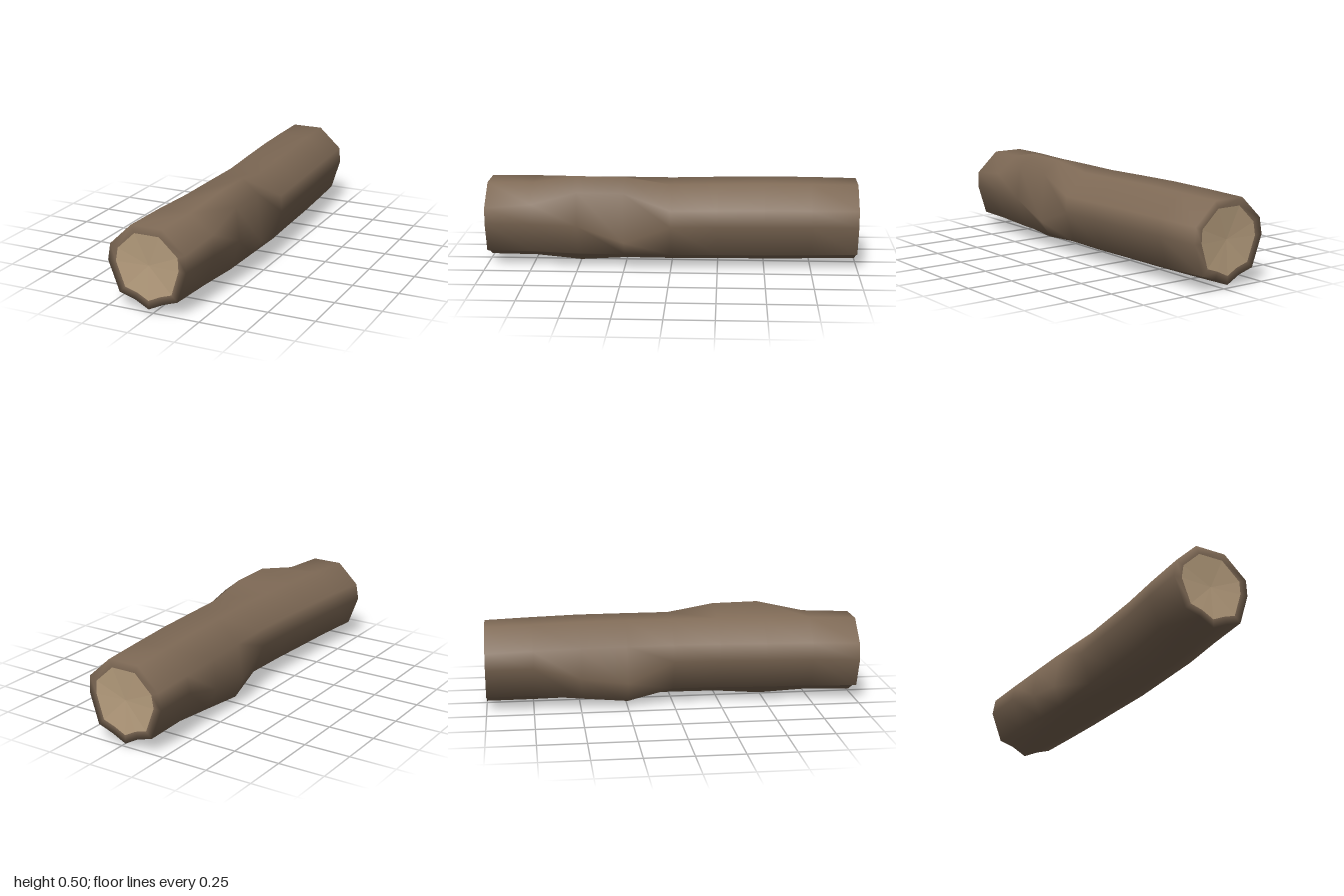
import * as THREE from 'three';

// Irregular cross-section, counter-clockwise seen from the front
const SECTION = [
  [0.21, 0], [0.206, 0.087], [0.082, 0.2], [-0.087, 0.2], [-0.205, 0.087], [-0.22, 0],
  [-0.16, -0.16], [-0.078, -0.183], [0, -0.225], [0.08, -0.187], [0.16, -0.16],
];
const N = SECTION.length;

// Rings along the log: z, centre x, centre y, scale, and knots { corner: [dx, dy] }
const RINGS = [
  { z: -1, x: -0.022, y: 0.243, s: 1.01 },
  { z: -0.75, x: -0.01, y: 0.245, s: 1.03 },
  { z: -0.5, x: 0.003, y: 0.247, s: 1.04, knots: { 5: [0, -0.07], 6: [-0.01, -0.025] } },
  { z: -0.25, x: 0.015, y: 0.247, s: 1.03, knots: { 5: [-0.012, -0.105], 6: [-0.03, -0.047] } },
  { z: 0, x: 0.028, y: 0.246, s: 1.02 },
  { z: 0.25, x: 0.022, y: 0.246, s: 1.02, knots: { 0: [0, -0.09], 1: [-0.02, 0.085], 2: [0.02, 0.04] } },
  { z: 0.5, x: 0.013, y: 0.243, s: 1.02, knots: { 1: [-0.015, 0.09], 2: [0.028, 0.048], 8: [0, -0.014] } },
  { z: 0.75, x: -0.006, y: 0.245, s: 1.01, knots: { 1: [0, 0.02] } },
  { z: 1, x: -0.025, y: 0.24, s: 1 },
];

function ringPoints({ z, x, y, s, knots = {} }) {
  return SECTION.map(([px, py], i) => {
    const [dx, dy] = knots[i] ?? [0, 0];
    return [x + px * s + dx, y + py * s + dy, z];
  });
}

// Bark skin with a flat rim folded inwards at both ends
function barkGeometry(rings) {
  const index = [];
  for (let i = 0; i < rings.length - 1; i++) {
    for (let j = 0; j < N; j++) {
      const k = (j + 1) % N;
      const a = i * N + j, b = i * N + k, c = b + N, d = a + N;
      index.push(a, b, c, a, c, d);
    }
  }
  const g = new THREE.BufferGeometry();
  g.setAttribute('position', new THREE.Float32BufferAttribute(rings.flat(2), 3));
  g.setIndex(index);
  g.computeVertexNormals();
  return g;
}

// Sawn end: a faceted, slightly hollow fan
function endGeometry(ring, { x, y, z }) {
  const dir = Math.sign(z);
  const centre = [x, y, z - dir * 0.012];
  const pos = [];
  for (let j = 0; j < N; j++) {
    const p = ring[j], q = ring[(j + 1) % N];
    pos.push(...centre, ...(dir > 0 ? p : q), ...(dir > 0 ? q : p));
  }
  const g = new THREE.BufferGeometry();
  g.setAttribute('position', new THREE.Float32BufferAttribute(pos, 3));
  g.computeVertexNormals();
  return g;
}

export function createModel() {
  const bark = new THREE.MeshStandardMaterial({ color: 0x7f6a56 });
  bark.name = 'bark brown';
  const wood = new THREE.MeshStandardMaterial({ color: 0xb89f7f });
  wood.name = 'cut wood tan';

  const back = RINGS[0], front = RINGS[RINGS.length - 1];
  const inner = (r) => ringPoints({ ...r, s: r.s * 0.8 });

  const group = new THREE.Group();
  group.name = 'log';
  const add = (name, geometry, material) => {
    const mesh = new THREE.Mesh(geometry, material);
    mesh.name = name;
    group.add(mesh);
  };
  add('bark', barkGeometry([inner(back), ...RINGS.map(ringPoints), inner(front)]), bark);
  add('frontCut', endGeometry(inner(front), front), wood);
  add('backCut', endGeometry(inner(back), back), wood);
  return group;
}
